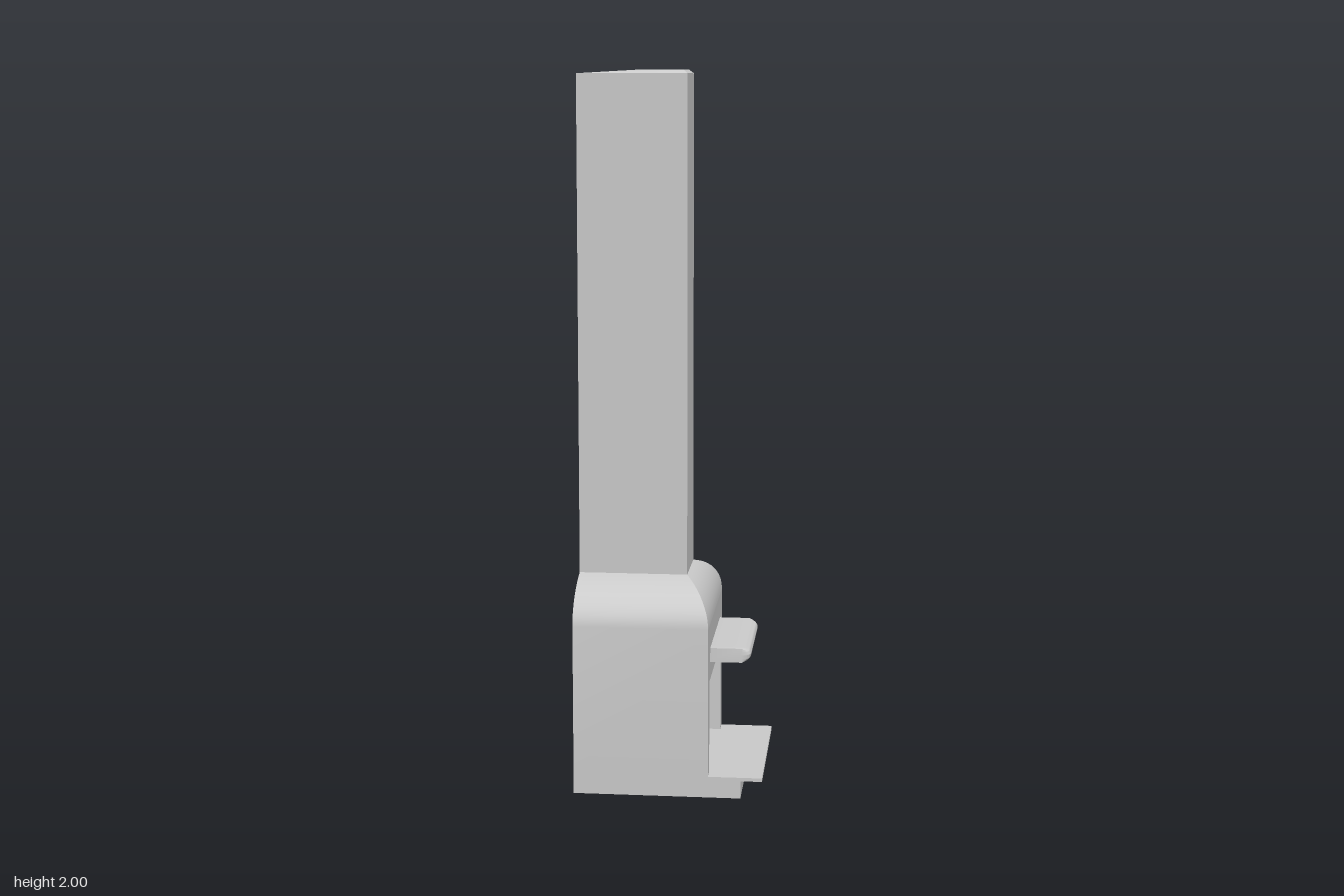
import * as THREE from 'three';
import { toCreasedNormals } from 'three/addons/utils/BufferGeometryUtils.js';

const BACK = -0.265, FRONT = 0.112, HALF = 0.241;
const material = new THREE.MeshStandardMaterial({ color: 0xcccccc });
const doubleMaterial = new THREE.MeshStandardMaterial({ color: 0xcccccc, side: THREE.DoubleSide });

function add(group, name, geometry, mat = material) {
  const mesh = new THREE.Mesh(geometry, mat);
  mesh.name = name;
  group.add(mesh);
  return mesh;
}

// Box given by its limits
function block(x0, x1, y0, y1, half) {
  return new THREE.BoxGeometry(x1 - x0, y1 - y0, half * 2)
    .translate((x0 + x1) / 2, (y0 + y1) / 2, 0);
}

// Skin between rectangular rings [y, back x, front x, half depth]
function rectLoft(rings, skipFront) {
  const corners = ([y, x0, x1, h]) => [[x1, y, h], [x1, y, -h], [x0, y, -h], [x0, y, h]];
  const positions = [];
  for (let i = 0; i < rings.length - 1; i++) {
    const low = corners(rings[i]), high = corners(rings[i + 1]);
    for (let k = 0; k < 4; k++) {
      if (k === 0 && skipFront.includes(i)) continue;
      const n = (k + 1) % 4;
      positions.push(...low[k], ...low[n], ...high[n], ...low[k], ...high[n], ...high[k]);
    }
  }
  const geometry = new THREE.BufferGeometry();
  geometry.setAttribute('position', new THREE.Float32BufferAttribute(positions, 3));
  return toCreasedNormals(geometry, 0.5);
}

// Outer walls, curved shoulder, chimney, rim, then down the flue into the firebox
function shellGeometry() {
  const rings = [[0.06, BACK, FRONT, HALF]];
  const sweep = THREE.MathUtils.degToRad(65), steps = 10;
  for (let i = 0; i <= steps; i++) {
    const a = sweep * i / steps;
    const f = (Math.cos(a) - Math.cos(sweep)) / (1 - Math.cos(sweep));
    rings.push([0.48 + 0.12 * Math.sin(a) / Math.sin(sweep), BACK, 0.04 + 0.072 * f, 0.094 + 0.147 * f]);
  }
  rings.push(
    [1.99, BACK, 0.04, 0.094],
    [2.0, -0.092, 0.028, 0.075],
    [0.32, -0.092, 0.028, 0.075],
    [0.32, -0.095, FRONT, 0.195],
    [0.06, -0.095, FRONT, 0.195]
  );
  return rectLoft(rings, [0, rings.length - 2]);
}

// Flat front around the fire opening
function surroundGeometry() {
  const outline = [[-HALF, 0.06], [-0.195, 0.06], [-0.195, 0.32], [0.195, 0.32],
    [0.195, 0.06], [HALF, 0.06], [HALF, 0.48], [-HALF, 0.48]];
  const shape = new THREE.Shape(outline.map(([u, v]) => new THREE.Vector2(u, v)));
  return new THREE.ShapeGeometry(shape).rotateY(Math.PI / 2).translate(FRONT, 0, 0);
}

// Shelf with a rounded nose that shrinks away at both ends
function mantelGeometry() {
  const nose = 0.2, length = 0.34;
  const shape = new THREE.Shape();
  shape.moveTo(0.1, 0.37);
  shape.lineTo(nose, 0.37);
  shape.absellipse(nose, 0.39, 0.025, 0.02, -Math.PI / 2, Math.PI / 2, false);
  shape.lineTo(0.1, 0.41);
  const geometry = new THREE.ExtrudeGeometry(shape, {
    depth: length, steps: 68, bevelEnabled: false, curveSegments: 10
  }).translate(0, 0, -length / 2);
  const p = geometry.attributes.position;
  for (let i = 0; i < p.count; i++) {
    const over = p.getX(i) - nose;
    if (over <= 0) continue;
    const t = Math.min(1, Math.max(0, (Math.abs(p.getZ(i)) - 0.145) / 0.025));
    p.setX(i, nose + over * Math.sqrt(1 - t * t));
  }
  return toCreasedNormals(geometry, 0.6);
}

// Eight-sided log between two points
function addLog(group, name, from, to, radius) {
  const a = new THREE.Vector3(...from), b = new THREE.Vector3(...to);
  const geometry = new THREE.CylinderGeometry(radius, radius, a.distanceTo(b), 8);
  const log = add(group, name, toCreasedNormals(geometry, 0.3));
  log.position.copy(a).add(b).multiplyScalar(0.5);
  log.quaternion.setFromUnitVectors(new THREE.Vector3(0, 1, 0), b.sub(a).normalize());
}

export function createModel() {
  const model = new THREE.Group();
  model.name = 'fireplace';

  add(model, 'base', block(BACK, 0.203, 0, 0.05, HALF));
  add(model, 'hearthSlab', block(BACK, 0.263, 0.05, 0.06, HALF));
  add(model, 'chimneyAndFirebox', shellGeometry(), doubleMaterial);
  add(model, 'fireSurround', surroundGeometry(), doubleMaterial);
  add(model, 'mantel', mantelGeometry());

  // Stacked firewood
  const logs = new THREE.Group();
  logs.name = 'logs';
  addLog(logs, 'backLog', [-0.045, 0.085, -0.055], [-0.045, 0.085, 0.09], 0.023);
  addLog(logs, 'frontLog', [0.01, 0.085, -0.055], [0.01, 0.085, 0.09], 0.023);
  addLog(logs, 'topLog', [-0.064, 0.14, 0.083], [0.05, 0.14, 0.022], 0.024);
  addLog(logs, 'leaningLog', [0, 0.162, -0.014], [0, 0.088, -0.135], 0.026);
  model.add(logs);

  return model;
}
